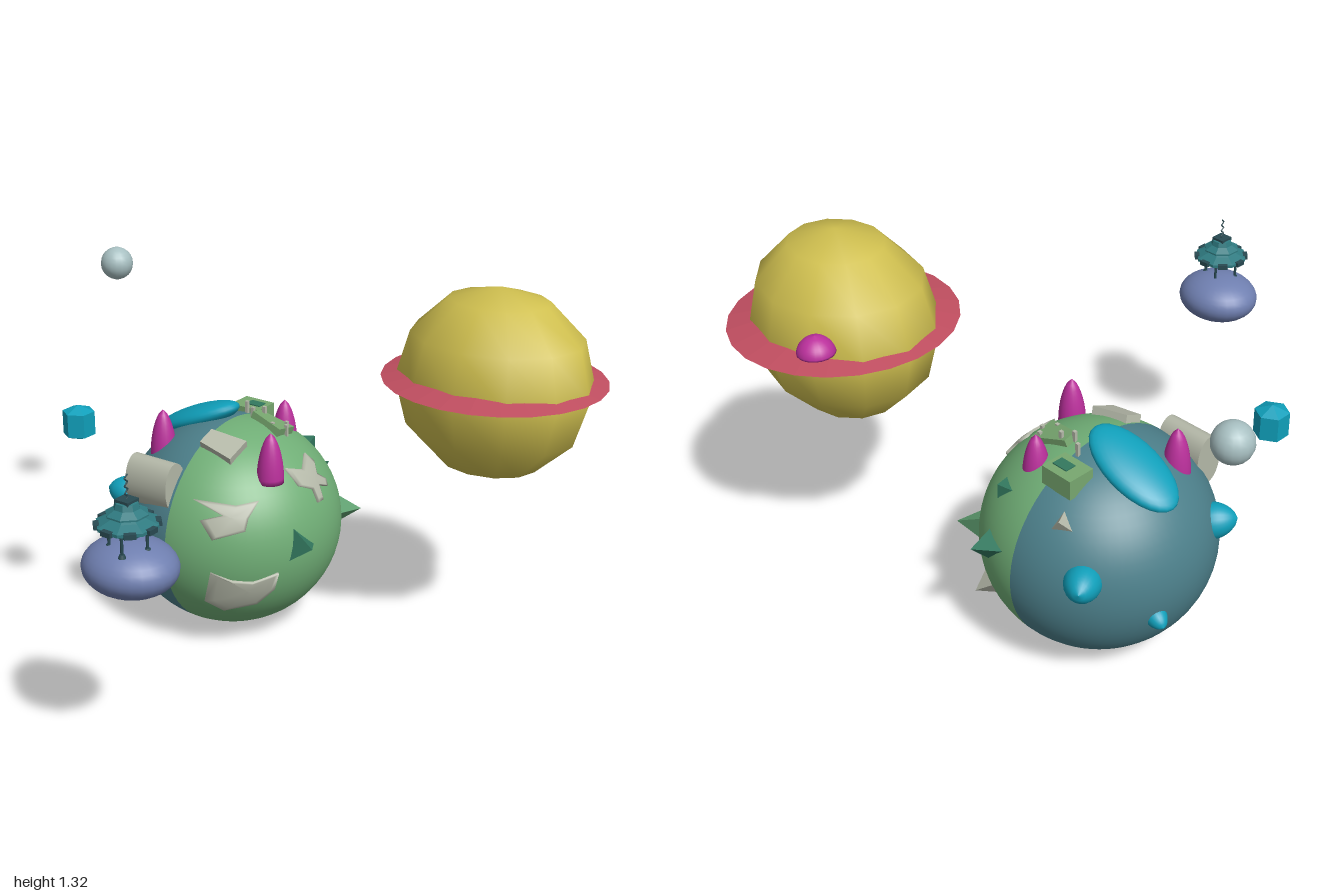
import * as THREE from 'three';

const C = {
  land: 0x70ae76, sea: 0x4c7f8a, yellow: 0xcfbf4f, ring: 0xc04e60, pink: 0xbb309c, blue: 0x10a0bb,
  grey: 0xb4b8a8, spike: 0x33785f, paleSpike: 0x5f9f70, plate: 0x78a870, asteroid: 0x6f7fb0,
  moon: 0xa8c0c2, ship: 0x2f7a80, dark: 0x294a52,
};

function part(parent, name, geo, color, pos = [0, 0, 0], opts = {}) {
  const m = new THREE.Mesh(geo, new THREE.MeshStandardMaterial({ color, ...opts }));
  m.name = name;
  m.position.set(...pos);
  parent.add(m);
  return m;
}
const flat = { flatShading: true };
const V = (x, y, z) => new THREE.Vector3(x, y, z);

// Main planet ellipsoid
const P = V(0.22, 0.385, -0.24), R = V(0.4, 0.385, 0.4);

// Place a mesh on the planet, its y axis along the surface normal
function stick(mesh, dir, lift = 0) {
  const d = V(...dir).divide(R).normalize();
  const n = d.clone().divide(R).normalize();
  mesh.position.copy(d.multiply(R).add(P)).addScaledVector(n, lift);
  mesh.quaternion.setFromUnitVectors(V(0, 1, 0), n);
  return mesh;
}

// Round-tipped solid standing on y = 0
function bullet(r, h) {
  const pts = [[0, 0]];
  for (let i = 0; i <= 10; i++) {
    const t = i / 10;
    pts.push([r * Math.pow(1 - t * t, 0.65), h * t]);
  }
  return new THREE.LatheGeometry(pts.map(p => new THREE.Vector2(...p)), 20);
}

// Raised land patch: an outline in x, y wrapped over the front of the planet
function patch(outline) {
  const n = outline.length, rings = 6, pos = [], idx = [];
  const c = outline.reduce((s, p) => [s[0] + p[0] / n, s[1] + p[1] / n], [0, 0]);
  for (let r = 0; r <= rings + 1; r++) {
    const t = Math.min(r, rings) / rings, k = r > rings ? 0.99 : 1.025;
    for (const p of outline) {
      const x = (c[0] + (p[0] - c[0]) * t - P.x) / R.x, y = (c[1] + (p[1] - c[1]) * t - P.y) / R.y;
      const z = Math.sqrt(Math.max(0, 1 - x * x - y * y));
      pos.push(P.x + x * R.x * k, P.y + y * R.y * k, P.z + z * R.z * k);
    }
  }
  for (let r = 0; r <= rings; r++) for (let i = 0; i < n; i++) {
    const a = r * n + i, b = r * n + (i + 1) % n;
    idx.push(a, a + n, b, b, a + n, b + n);
  }
  const g = new THREE.BufferGeometry();
  g.setAttribute('position', new THREE.Float32BufferAttribute(pos, 3));
  g.setIndex(idx);
  g.computeVertexNormals();
  return g;
}

function buildPlanet() {
  const g = new THREE.Group();
  g.name = 'mainPlanet';
  // Land half faces the front, sea half the back
  [['landHalf', 0, C.land], ['seaHalf', Math.PI, C.sea]].forEach(([name, start, col]) => {
    part(g, name, new THREE.SphereGeometry(1, 32, 32, start, Math.PI), col, P.toArray()).scale.copy(R);
  });

  // Pink horns stand upright
  [[0.095, 0.63, 0.015], [0.4, 0.63, -0.137], [0.06, 0.63, -0.43]].forEach(p =>
    part(g, 'pinkHorn', bullet(0.048, 0.18), C.pink, p));

  // Blue lake bulge and blue knobs on the sea half
  const lake = part(g, 'blueBulge', new THREE.SphereGeometry(1, 28, 16), C.blue);
  stick(lake, [0.015, 0.35, -0.165]).scale.set(0.1, 0.045, 0.185);
  [[[0.33, 0.1, -0.25], 0.062, 0.1], [[-0.23, 0.1, -0.33], 0.062, 0.09], [[0.115, -0.085, -0.38], 0.037, 0.06]]
    .forEach(([d, r, h]) => stick(part(g, 'blueKnob', bullet(r, h), C.blue), d, -0.02));

  // Three-sided spikes
  [
    [[-0.12, 0.035, 0.38], 0.068, 0.075, C.spike],
    [[0.38, 0.085, 0.11], 0.06, 0.085, C.spike],
    [[0.26, 0.01, 0.3], 0.06, 0.085, C.paleSpike],
    [[0.275, 0.24, 0.15], 0.05, 0.04, C.spike],
    [[0.32, -0.15, 0.19], 0.06, 0.07, C.grey],
    [[0.28, 0.25, -0.12], 0.045, 0.05, C.grey],
  ].forEach(([d, r, h, col]) => {
    const cone = new THREE.ConeGeometry(r, h, 3).rotateY(Math.PI).translate(0, h / 2, 0);
    stick(part(g, 'pyramidSpike', cone, col, [0, 0, 0], flat), d, -0.008);
  });

  // Pale land patches
  [
    [[-0.14, 0.35], [-0.1, 0.32], [-0.05, 0.31], [0.02, 0.335], [0.02, 0.27], [-0.01, 0.21], [-0.07, 0.18], [-0.12, 0.225]],
    [[0.01, 0.59], [-0.04, 0.54], [-0.06, 0.5], [-0.13, 0.47], [-0.13, 0.53], [-0.09, 0.55], [-0.11, 0.59], [-0.05, 0.58]],
    [[0.155, 0.66], [0.22, 0.64], [0.29, 0.67], [0.31, 0.64], [0.28, 0.61], [0.32, 0.58], [0.31, 0.56], [0.26, 0.58],
      [0.25, 0.535], [0.22, 0.535], [0.22, 0.58], [0.165, 0.605]],
  ].forEach(o => part(g, 'landPatch', patch(o), C.grey, [0, 0, 0], { side: THREE.DoubleSide }));

  // Oval drum lying along z on the shoulder
  const drum = part(g, 'ovalDrum', new THREE.CylinderGeometry(1, 1, 0.18, 24).rotateX(Math.PI / 2), C.grey, [-0.1, 0.605, -0.34]);
  drum.scale.set(0.056, 0.092, 1);

  // Low tapered blocks and slim pillars near the top
  const slab = (w0, w1, d) => {
    const s = new THREE.Shape([[-w0 / 2, -d / 2], [w0 / 2, -d / 2], [w1 / 2, d / 2], [-w1 / 2, d / 2]]
      .map(p => new THREE.Vector2(...p)));
    return new THREE.ExtrudeGeometry(s, { depth: 0.03, bevelEnabled: false }).rotateX(-Math.PI / 2);
  };
  stick(part(g, 'taperedBlock', slab(0.1, 0.07, 0.14), C.grey), [-0.16, 0.345, 0.075], -0.01);
  stick(part(g, 'taperedBlock', slab(0.1, 0.05, 0.14), C.plate), [0.08, 0.365, 0.11], -0.01);
  part(g, 'roofBlock', new THREE.BoxGeometry(0.1, 0.07, 0.125), C.plate, [0.405, 0.728, -0.285]);
  part(g, 'roofSlot', new THREE.BoxGeometry(0.04, 0.01, 0.06), C.spike, [0.405, 0.762, -0.27]);
  [[0.3, 0.7, -0.06], [0.33, 0.7, -0.08], [0.27, 0.71, -0.1], [0.32, 0.74, -0.17], [0.29, 0.74, -0.2], [0.33, 0.74, -0.255]]
    .forEach(p => part(g, 'pillar', new THREE.BoxGeometry(0.012, 0.12, 0.012), C.grey, p));
  return g;
}

function buildRingedPlanet() {
  const g = new THREE.Group();
  g.name = 'ringedPlanet';
  g.position.set(0.56, 0.985, 0.61);
  part(g, 'yellowBody', new THREE.SphereGeometry(1, 12, 6), C.yellow).scale.set(0.298, 0.333, 0.348);
  const prof = [[0.2, -0.03], [0.383, 0], [0.2, 0.04], [0.2, -0.03]].map(p => new THREE.Vector2(...p));
  part(g, 'ring', new THREE.LatheGeometry(prof, 24), C.ring, [0, 0.015, 0], flat);
  // Pink dome with a flat underside
  part(g, 'pinkDome', bullet(0.062, 0.06), C.pink, [0.243, 0.06, -0.19]);
  return g;
}

function buildShip() {
  const g = new THREE.Group();
  g.name = 'flyingSaucer';
  g.position.set(-0.838, 0.79, 0.172);
  // Eight-sided stepped hull
  const prof = [[0, 0.045], [0.05, 0.045], [0.06, 0.055], [0.095, 0.07], [0.095, 0.08], [0.06, 0.095], [0.05, 0.1],
    [0.065, 0.105], [0.065, 0.11], [0.04, 0.125], [0.035, 0.143], [0, 0.148]].map(p => new THREE.Vector2(...p));
  part(g, 'hull', new THREE.LatheGeometry(prof, 8).rotateY(Math.PI / 8), C.ship, [0, 0, 0], flat);
  part(g, 'hatch', new THREE.BoxGeometry(0.05, 0.012, 0.05), C.dark, [0, 0.146, 0]);
  for (let i = 0; i < 8; i++) {
    const a = i * Math.PI / 4;
    const w = part(g, 'rimPod', new THREE.BoxGeometry(0.035, 0.016, 0.02), C.dark, [Math.sin(a) * 0.088, 0.075, Math.cos(a) * 0.088]);
    w.rotation.y = a;
  }
  // Landing legs with feet
  for (let i = 0; i < 4; i++) {
    const a = Math.PI / 8 + i * Math.PI / 2, x = Math.sin(a) * 0.058, z = Math.cos(a) * 0.058;
    part(g, 'leg', new THREE.CylinderGeometry(0.005, 0.005, 0.06, 6), C.dark, [x, 0.025, z]);
    part(g, 'foot', new THREE.CylinderGeometry(0.008, 0.012, 0.012, 8), C.dark, [x, -0.003, z]);
  }
  // Zigzag antenna
  const path = new THREE.CurvePath();
  const pts = [...Array(8)].map((_, i) => V(i % 2 ? 0.007 : -0.007, 0.145 + i * 0.0115, 0));
  for (let i = 1; i < pts.length; i++) path.add(new THREE.LineCurve3(pts[i - 1], pts[i]));
  part(g, 'antenna', new THREE.TubeGeometry(path, 42, 0.0025, 5), C.dark);
  return g;
}

export function createModel() {
  const model = new THREE.Group();
  model.name = 'planets';
  model.add(buildPlanet(), buildRingedPlanet(), buildShip());

  // Asteroid below the saucer
  part(model, 'asteroid', new THREE.SphereGeometry(1, 28, 18), C.asteroid, [-0.812, 0.714, 0.155]).scale.set(0.137, 0.087, 0.152);

  part(model, 'moon', new THREE.SphereGeometry(0.062, 18, 12), C.moon, [0.42, 1.19, -0.938]);

  // Floating hexagonal crystal
  const hex = [[0, -0.064], [0.057, -0.042], [0.057, 0.042], [0, 0.064]].map(p => new THREE.Vector2(...p));
  part(model, 'crystal', new THREE.LatheGeometry(hex, 6).rotateY(Math.PI / 6), C.blue, [-0.19, 0.8, -0.605], flat);
  return model;
}
